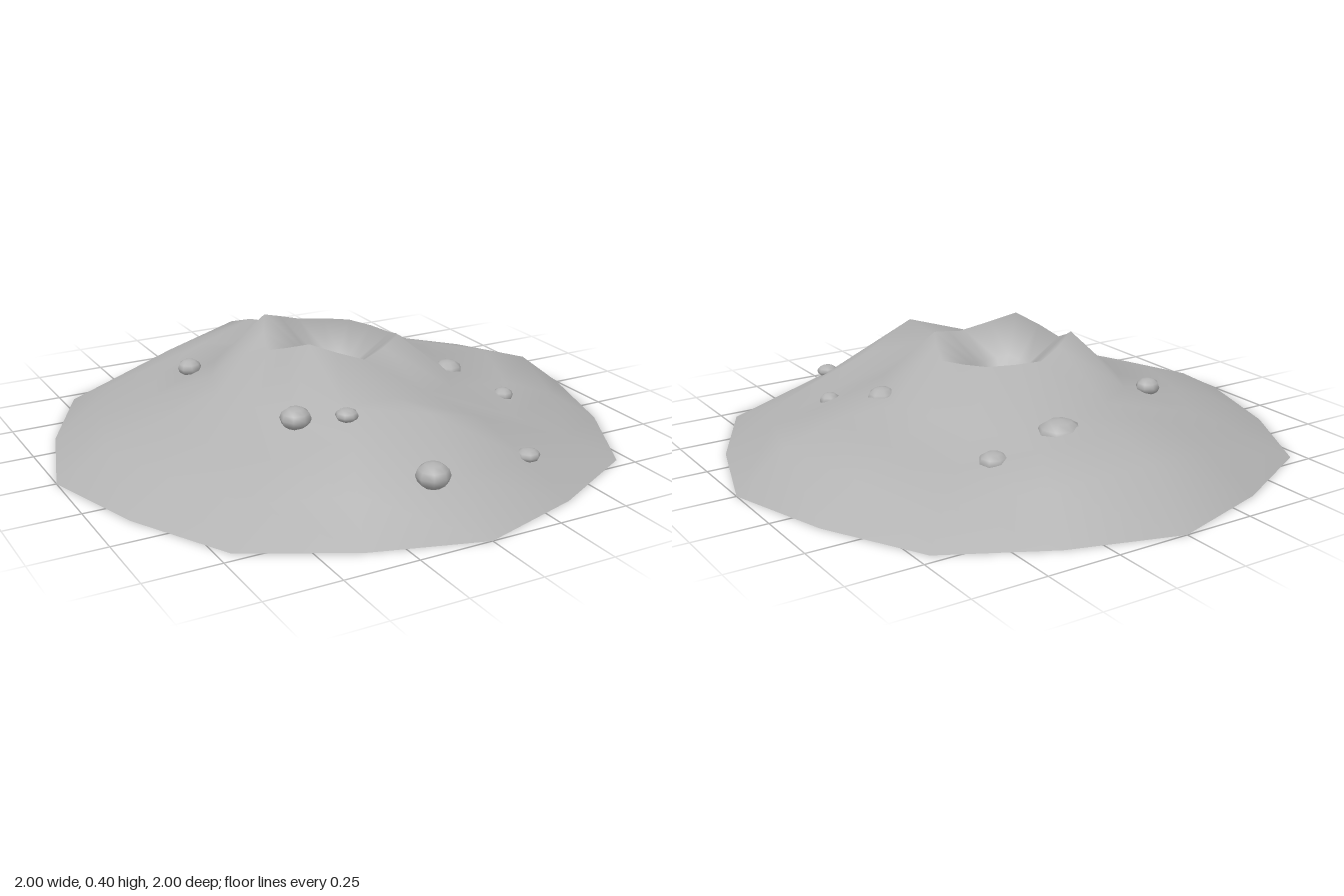
import * as THREE from 'three';

const stone = new THREE.MeshStandardMaterial({ color: 0xb2b2b2, side: THREE.DoubleSide });
stone.name = 'grey stone';

// Rings from crater floor to foot: radius, then heights at eight compass
// directions (front, front-left, left, back-left, back, back-right, right, front-right
// of the model, running from +z through +x).
const RINGS = [
  [0.04, [0.15, 0.15, 0.15, 0.15, 0.15, 0.15, 0.15, 0.15]],
  [0.11, [0.25, 0.26, 0.24, 0.25, 0.25, 0.28, 0.25, 0.27]],
  [0.24, [0.33, 0.37, 0.32, 0.33, 0.34, 0.4, 0.33, 0.39]],
  [0.43, [0.26, 0.2, 0.2, 0.19, 0.195, 0.21, 0.21, 0.21]],
  [0.65, [0.28, 0.115, 0.185, 0.125, 0.225, 0.14, 0.147, 0.145]],
  [0.83, [0.14, 0.065, 0.13, 0.08, 0.165, 0.08, 0.09, 0.08]],
  [1, [0, 0, 0, 0, 0, 0, 0, 0]],
];
const SIDES = 16;

function moundGeometry() {
  const pos = [0, 0.13, 0];
  const index = [];
  for (const [radius, heights] of RINGS) {
    for (let k = 0; k < SIDES; k++) {
      const a = (k / SIDES) * Math.PI * 2;
      const r = k % 2 ? radius * 0.96 : radius;
      const h = (heights[k >> 1] + heights[((k + 1) >> 1) % 8]) / 2;
      pos.push(Math.sin(a) * r, h, Math.cos(a) * r);
    }
  }
  const id = (ring, k) => 1 + ring * SIDES + (k % SIDES);
  for (let k = 0; k < SIDES; k++) {
    index.push(0, id(0, k), id(0, k + 1));
    for (let i = 0; i < RINGS.length - 1; i++) {
      const a = id(i, k), b = id(i + 1, k), c = id(i + 1, k + 1), d = id(i, k + 1);
      index.push(a, b, c, a, c, d);
    }
  }
  const g = new THREE.BufferGeometry();
  g.setAttribute('position', new THREE.Float32BufferAttribute(pos, 3));
  g.setIndex(index);
  g.computeVertexNormals();
  return g;
}

// Boulders: x, y, z, horizontal radius, vertical radius
const BOULDERS = [
  [0.1, 0.18, -0.49, 0.077, 0.05],
  [0.35, 0.14, -0.49, 0.05, 0.032],
  [-0.4, 0.2, -0.31, 0.042, 0.03],
  [0.41, 0.185, 0.12, 0.052, 0.04],
  [0.51, 0.14, 0.32, 0.036, 0.027],
  [0.32, 0.107, 0.73, 0.039, 0.022],
  [-0.09, 0.155, 0.81, 0.055, 0.042],
  [-0.32, 0.225, 0.36, 0.052, 0.037],
  [-0.19, 0.245, 0.46, 0.038, 0.022],
];

export function createModel() {
  const model = new THREE.Group();
  model.name = 'crateredMound';

  // Open-bottomed mound with a central crater
  const mound = new THREE.Mesh(moundGeometry(), stone);
  mound.name = 'mound';
  model.add(mound);

  // Scattered, slightly flattened boulders
  const boulders = new THREE.Group();
  boulders.name = 'boulders';
  const ball = new THREE.SphereGeometry(1, 8, 6);
  BOULDERS.forEach(([x, y, z, r, ry], i) => {
    const rock = new THREE.Mesh(ball, stone);
    rock.name = 'boulder' + (i + 1);
    rock.position.set(x, y, z);
    rock.scale.set(r, ry, r);
    rock.rotation.y = i * 0.7;
    boulders.add(rock);
  });
  model.add(boulders);
  return model;
}
